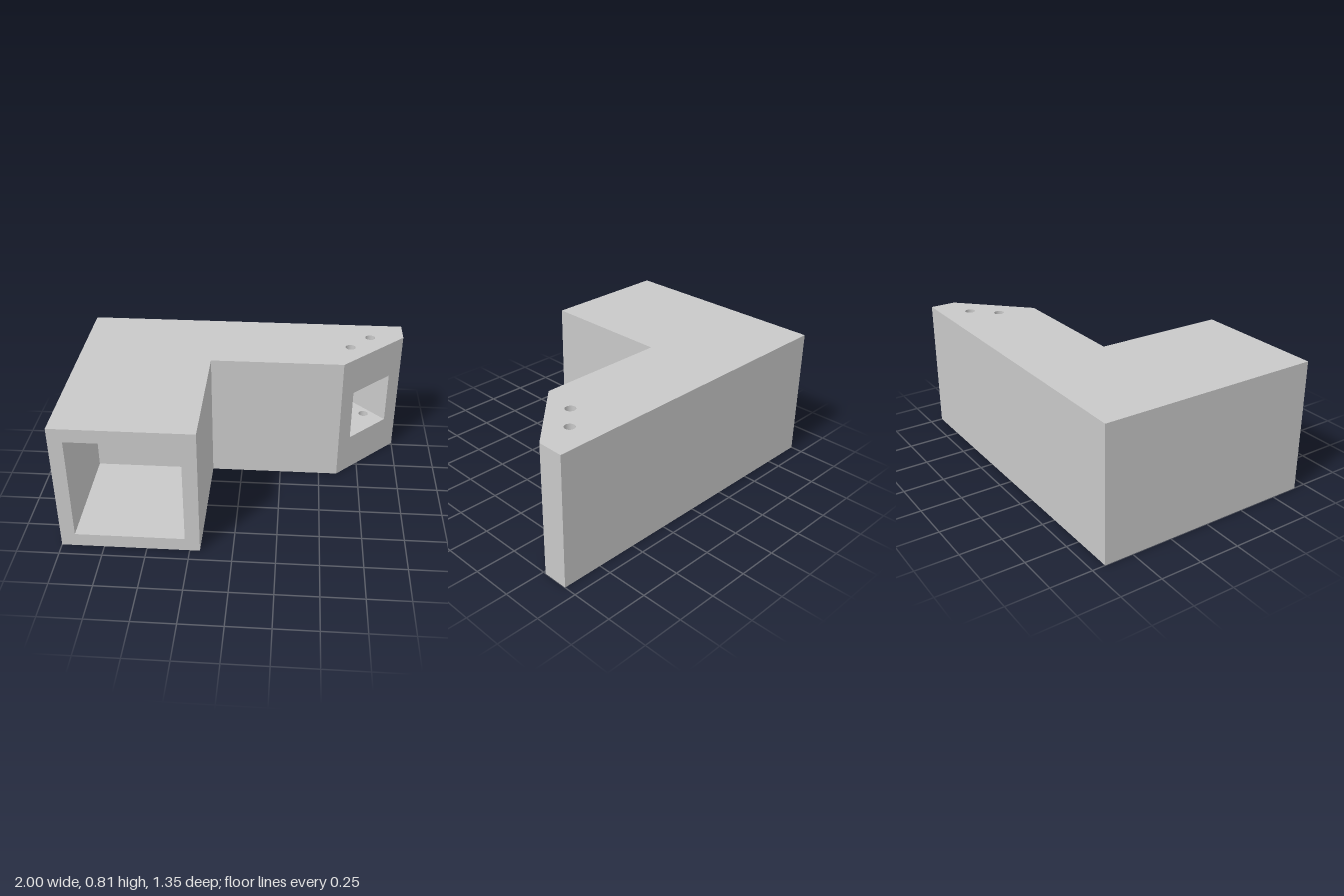
import * as THREE from 'three';

const H = 0.81;
const grey = new THREE.MeshStandardMaterial({ color: 0xc8c8c8, side: THREE.DoubleSide });
grey.name = 'plain grey';

// Plan outline as [x, z], walked so that every wall faces outwards
const OUTLINE = [[-1, 0.673], [-0.19, 0.673], [-0.19, -0.136], [0.615, -0.136], [1, -0.517], [1, -0.673], [-1, -0.673]];
const BOLTS = [[0.79, -0.503], [0.661, -0.364]];
const BOLT_R = 0.031;

// Rectangular openings, measured along the wall they are cut into
const SOCKET = { name: 'squareSocket', u0: 0.084, u1: 0.724, y0: 0.083, y1: 0.727, depth: 0.7 };
const SLOT = { name: 'angledSlot', u0: 0.105, u1: 0.436, y0: 0.24, y1: 0.573, depth: 0.283, bolts: true };
const POCKETS = { 0: SOCKET, 3: SLOT }; // by index of the outline's wall

function rectangle(Type, u0, u1, y0, y1) {
  return new Type([[u0, y0], [u1, y0], [u1, y1], [u0, y1]].map(p => new THREE.Vector2(...p)));
}

function add(group, geometry, name) {
  const mesh = new THREE.Mesh(geometry, grey);
  mesh.name = name;
  group.add(mesh);
}

// Upright panel from plan point a to b, facing the right-hand side of the walk
function wall(group, name, a, b, y0, y1, opening) {
  const u = new THREE.Vector3(b[0] - a[0], 0, b[1] - a[1]);
  const shape = rectangle(THREE.Shape, 0, u.length(), y0, y1);
  if (opening) shape.holes.push(rectangle(THREE.Path, opening.u0, opening.u1, opening.y0, opening.y1));
  u.normalize();
  const up = new THREE.Vector3(0, 1, 0);
  const basis = new THREE.Matrix4().makeBasis(u, up, u.clone().cross(up)).setPosition(a[0], 0, a[1]);
  add(group, new THREE.ShapeGeometry(shape).applyMatrix4(basis), name);
}

// Level panel at height y, facing up or down, optionally drilled
function level(group, name, points, y, facesUp, drilled) {
  const s = facesUp ? -1 : 1;
  const shape = new THREE.Shape(points.map(([x, z]) => new THREE.Vector2(x, s * z)));
  if (drilled) {
    for (const [x, z] of BOLTS) {
      shape.holes.push(new THREE.Path().absarc(x, s * z, BOLT_R, 0, Math.PI * 2, true));
    }
  }
  add(group, new THREE.ShapeGeometry(shape, 16).rotateX(s * Math.PI / 2).translate(0, y, 0), name);
}

// Inside of a blind rectangular recess behind the wall from a to b
function pocket(group, a, b, p) {
  const len = Math.hypot(b[0] - a[0], b[1] - a[1]);
  const ux = (b[0] - a[0]) / len, uz = (b[1] - a[1]) / len;
  const at = (u, d) => [a[0] + ux * u + uz * d, a[1] + uz * u - ux * d];
  const plan = [at(p.u0, 0), at(p.u0, p.depth), at(p.u1, p.depth), at(p.u1, 0)];
  const part = new THREE.Group();
  part.name = p.name;
  ['sideWall', 'backWall', 'sideWall'].forEach((name, i) => wall(part, name, plan[i], plan[i + 1], p.y0, p.y1));
  level(part, 'floor', plan, p.y0, true, p.bolts);
  level(part, 'ceiling', plan, p.y1, false, p.bolts);
  group.add(part);
}

export function createModel() {
  const model = new THREE.Group();
  model.name = 'angledBracket';

  // Outer shell
  level(model, 'topFace', OUTLINE, H, true, true);
  level(model, 'bottomFace', OUTLINE, 0, false, true);
  OUTLINE.forEach((a, i) => {
    const b = OUTLINE[(i + 1) % OUTLINE.length];
    wall(model, 'outerWall', a, b, 0, H, POCKETS[i]);
    if (POCKETS[i]) pocket(model, a, b, POCKETS[i]);
  });

  // Bolt holes above and below the slot
  for (const [x, z] of BOLTS) {
    for (const [y0, y1] of [[0, SLOT.y0], [SLOT.y1, H]]) {
      const bore = new THREE.CylinderGeometry(BOLT_R, BOLT_R, y1 - y0, 32, 1, true);
      add(model, bore.translate(x, (y0 + y1) / 2, z), 'boltHole');
    }
  }
  return model;
}
